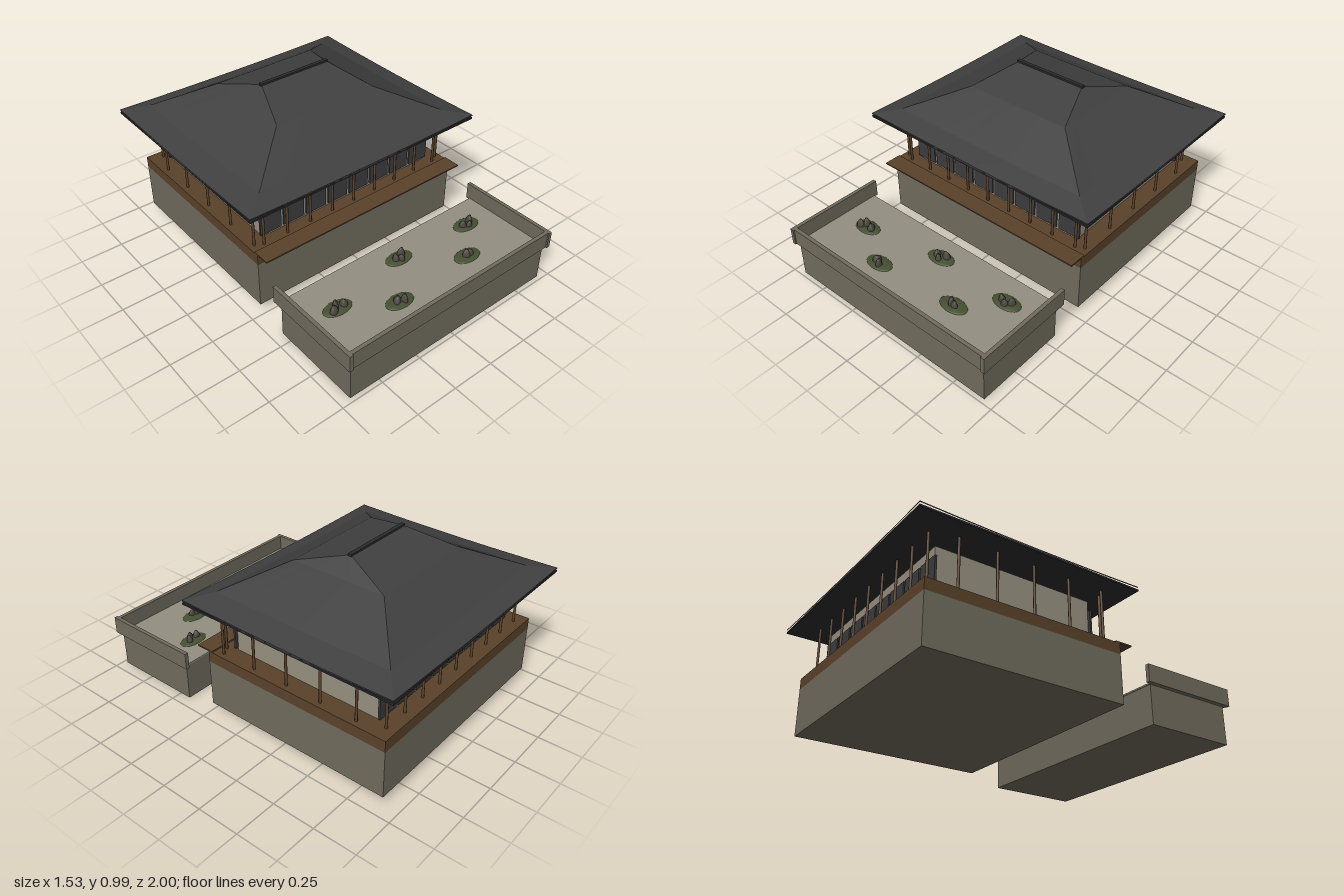
import * as THREE from 'three';

const mat = (name, color) => {
  const m = new THREE.MeshStandardMaterial({ color });
  m.name = name;
  return m;
};

export function createModel() {
  const stone = mat('stone', 0x706b5d);
  const plaster = mat('plaster', 0x969080);
  const gravel = mat('gravel', 0x948e81);
  const wood = mat('wood', 0x5a422a);
  const tile = mat('roof tile', 0x404040);
  const darkTile = mat('dark eave', 0x2c2c2c);
  const screen = mat('dark screen', 0x3d3d3f);
  const moss = mat('moss', 0x435030);
  const rock = mat('rock', 0x4d4741);

  const model = new THREE.Group();
  model.name = 'hallAndGarden';

  const add = (name, geometry, material, parent = model) => {
    const mesh = new THREE.Mesh(geometry, material);
    mesh.name = name;
    parent.add(mesh);
    return mesh;
  };
  // Box given by its limits on each axis
  const box = (name, material, [x0, x1], [y0, y1], [z0, z1], parent) => {
    const mesh = add(name, new THREE.BoxGeometry(x1 - x0, y1 - y0, z1 - z0), material, parent);
    mesh.position.set((x0 + x1) / 2, (y0 + y1) / 2, (z0 + z1) / 2);
    return mesh;
  };
  const group = (name) => {
    const g = new THREE.Group();
    g.name = name;
    model.add(g);
    return g;
  };

  // Hall platform, deck and front step
  const hall = group('hall');
  box('platform', stone, [-0.685, 0.685], [0.06, 0.335], [-0.915, 0.235], hall);
  box('deck', wood, [-0.685, 0.685], [0.335, 0.4], [-0.915, 0.235], hall);
  box('frontLedge', wood, [-0.685, 0.685], [0.4, 0.408], [0.21, 0.315], hall);
  box('hallCore', plaster, [-0.575, 0.575], [0.4, 0.655], [-0.805, 0.125], hall);

  // Sliding screens on the front and back
  for (let i = 0; i < 8; i++) {
    const x = (i - 3.5) * 0.15;
    box('frontScreen', screen, [x - 0.067, x + 0.067], [0.415, 0.597], [0.122, 0.134], hall);
    box('backScreen', screen, [x - 0.067, x + 0.067], [0.415, 0.597], [-0.814, -0.802], hall);
  }

  // Verandah posts
  const posts = group('posts');
  const postGeometry = new THREE.CylinderGeometry(0.0075, 0.0075, 0.295, 8);
  const post = (x, z) => add('post', postGeometry, wood, posts).position.set(x, 0.5475, z);
  for (let i = -4; i <= 4; i++) {
    post(i * 0.151, 0.18);
    post(i * 0.151, -0.86);
  }
  for (let i = 0; i < 5; i++) {
    post(0.65, 0.156 - i * 0.219);
    post(-0.65, 0.156 - i * 0.219);
  }

  // Hipped roof: rectangular rings from the eave up to the ridge
  const roof = group('roof');
  roof.position.z = -0.3425;
  const SEG = 8;
  const ring = ([hx, hz, y, lift]) => {
    const corners = [[-hx, hz], [hx, hz], [hx, -hz], [-hx, -hz]];
    const points = [];
    corners.forEach((a, i) => {
      const b = corners[(i + 1) % 4];
      for (let s = 0; s < SEG; s++) {
        const t = s / SEG;
        const rise = lift * (2 * t - 1) ** 2;
        points.push([a[0] + (b[0] - a[0]) * t, y + rise, a[1] + (b[1] - a[1]) * t]);
      }
    });
    return points;
  };
  const rings = [
    [0.765, 0.6575, 0.703, 0.009],
    [0.765, 0.6575, 0.71, 0.009],
    [0.63, 0.545, 0.745, 0.005],
    [0.33, 0.285, 0.897, 0],
    [0.225, 0.008, 0.975, 0],
  ].map(ring);
  const positions = [];
  for (let r = 0; r < rings.length - 1; r++) {
    const low = rings[r], high = rings[r + 1];
    low.forEach((a, i) => {
      const j = (i + 1) % low.length;
      positions.push(...a, ...low[j], ...high[j], ...a, ...high[j], ...high[i]);
    });
  }
  const roofGeometry = new THREE.BufferGeometry();
  roofGeometry.setAttribute('position', new THREE.Float32BufferAttribute(positions, 3));
  roofGeometry.computeVertexNormals();
  add('roofSlopes', roofGeometry, tile, roof);
  box('eaveSlab', darkTile, [-0.765, 0.765], [0.693, 0.703], [-0.6575, 0.6575], roof);
  box('ridge', darkTile, [-0.23, 0.23], [0.968, 0.985], [-0.011, 0.011], roof);

  // Raised garden bed with a low wall on three sides
  const garden = group('garden');
  box('gardenBase', stone, [-0.685, 0.685], [0, 0.22], [0.43, 0.975], garden);
  box('gravelBed', gravel, [-0.69, 0.69], [0.22, 0.228], [0.425, 0.975], garden);
  box('gardenFrontWall', stone, [-0.69, 0.69], [0.22, 0.32], [0.97, 0.992], garden);
  for (const s of [-1, 1]) {
    const xs = [s * 0.69, s * 0.712].sort((a, b) => a - b);
    box('gardenSideWall', stone, xs, [0.22, 0.32], [0.4, 1], garden);
  }

  // Moss islands: centre, then rocks as [dx, dz, radius, height]
  const islands = [
    [-0.495, 0.645, [[-0.035, 0.018, 0.024, 0.05], [-0.01, -0.005, 0.022, 0.06], [0.035, 0.004, 0.024, 0.045]]],
    [0, 0.56, [[-0.025, 0.002, 0.022, 0.045], [0, 0.02, 0.02, 0.04], [0.026, -0.014, 0.024, 0.055]]],
    [0.49, 0.585, [[-0.03, 0.004, 0.022, 0.045], [0.002, 0.022, 0.02, 0.04], [0.03, -0.004, 0.022, 0.05]]],
    [-0.22, 0.805, [[-0.018, 0, 0.026, 0.045], [0.016, 0.018, 0.02, 0.055]]],
    [0.3, 0.775, [[-0.012, 0.004, 0.022, 0.055], [0.014, 0.008, 0.02, 0.045]]],
  ];
  const mossGeometry = new THREE.SphereGeometry(1, 24, 6, 0, Math.PI * 2, 0, Math.PI / 2);
  // Rounded stone, made uneven by a wave rule
  const rockGeometry = new THREE.SphereGeometry(1, 12, 8);
  const p = rockGeometry.attributes.position;
  for (let i = 0; i < p.count; i++) {
    const x = p.getX(i), y = p.getY(i), z = p.getZ(i);
    const k = 1 + 0.12 * Math.sin(3 * x + 2 * y) * Math.cos(4 * z + y);
    p.setXYZ(i, x * k, y * k, z * k);
  }
  rockGeometry.computeVertexNormals();
  islands.forEach(([x, z, rocks], n) => {
    const island = add('mossIsland', mossGeometry, moss, garden);
    island.position.set(x, 0.227, z);
    island.scale.set(0.087, 0.012, 0.052);
    rocks.forEach(([dx, dz, r, h], i) => {
      const stoneMesh = add('gardenRock', rockGeometry, rock, garden);
      stoneMesh.position.set(x + dx, 0.235, z + dz);
      stoneMesh.scale.set(r, h * 0.8, r * 0.8);
      stoneMesh.rotation.y = n * 1.3 + i * 0.9;
    });
  });

  return model;
}
